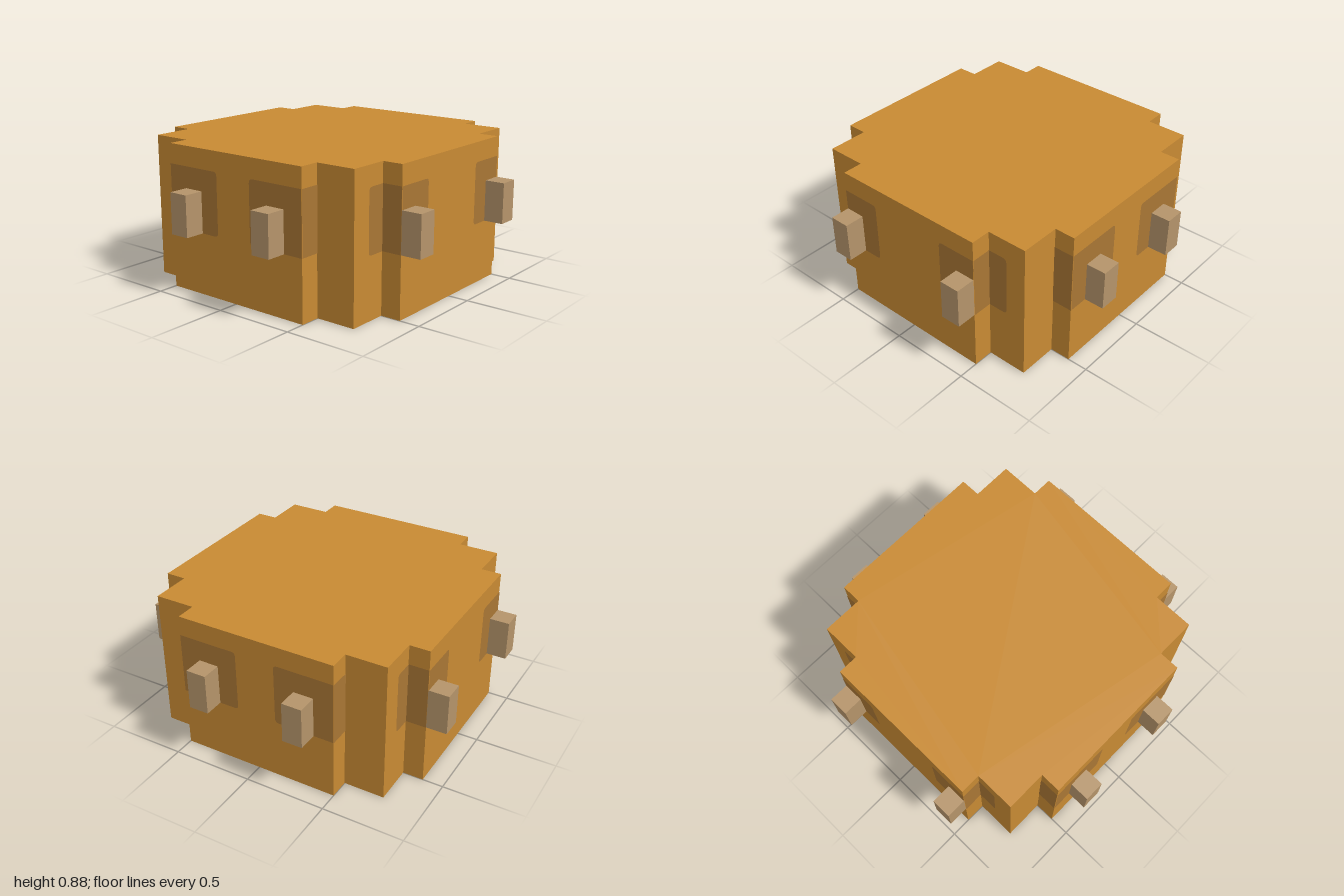
import * as THREE from 'three';

const bodyMat = new THREE.MeshStandardMaterial({ name: 'amber', color: 0xc88a33 });
const patchMat = new THREE.MeshStandardMaterial({ name: 'dark amber', color: 0xa97635 });
const pegMat = new THREE.MeshStandardMaterial({ name: 'tan', color: 0xb5946a });

const H = 0.875, LIFT = 0.003;
const Y0 = 0.375, Y1 = 0.755;

// Stepped round outline, extruded upwards
function makeBody() {
  const q = [[0.875, 0.5], [0.75, 0.5], [0.75, 0.75], [0.5, 0.75], [0.5, 0.875]];
  const pts = [];
  for (let k = 0; k < 4; k++) {
    for (const [a, b] of q) {
      let x = a, y = b;
      for (let i = 0; i < k; i++) [x, y] = [-y, x];
      pts.push(new THREE.Vector2(x, y));
    }
  }
  const geo = new THREE.ExtrudeGeometry(new THREE.Shape(pts), { depth: H, bevelEnabled: false });
  geo.rotateX(-Math.PI / 2);
  const body = new THREE.Mesh(geo, bodyMat);
  body.name = 'body';
  return body;
}

// Flat patch from u0 to u1, each end with its own corner radius
function patchGeometry(u0, u1, r0, r1, flip) {
  if (flip) [u0, u1, r0, r1] = [-u1, -u0, r1, r0];
  const s = new THREE.Shape();
  s.moveTo(u0 + r0, Y0);
  s.lineTo(u1 - r1, Y0);
  if (r1) s.quadraticCurveTo(u1, Y0, u1, Y0 + r1);
  s.lineTo(u1, Y1 - r1);
  if (r1) s.quadraticCurveTo(u1, Y1, u1 - r1, Y1);
  s.lineTo(u0 + r0, Y1);
  if (r0) s.quadraticCurveTo(u0, Y1, u0, Y1 - r0);
  s.lineTo(u0, Y0 + r0);
  if (r0) s.quadraticCurveTo(u0, Y0, u0 + r0, Y0);
  return new THREE.ShapeGeometry(s, 4);
}

export function createModel() {
  const model = new THREE.Group();
  model.name = 'steppedDrum';
  model.add(makeBody());

  const R = 0.025;
  for (const sx of [1, -1]) for (const sz of [1, -1]) {
    const corner = new THREE.Group();
    corner.name = 'cornerDetails';

    // Patch on a wall facing front or back
    const zPatch = (z, u0, u1, r0, r1) => {
      const m = new THREE.Mesh(patchGeometry(u0, u1, r0, r1, sx * sz < 0), patchMat);
      m.rotation.y = sz > 0 ? 0 : Math.PI;
      m.position.z = sz * (z + LIFT);
      m.name = 'patch';
      corner.add(m);
    };
    // Patch on a wall facing left or right
    const xPatch = (x, u0, u1, r0, r1) => {
      const m = new THREE.Mesh(patchGeometry(u0, u1, r0, r1, sx * sz > 0), patchMat);
      m.rotation.y = sx * Math.PI / 2;
      m.position.x = sx * (x + LIFT);
      m.name = 'patch';
      corner.add(m);
    };
    // Front and back patch wraps around the first step
    zPatch(0.875, 0.25, 0.5, R, 0);
    xPatch(0.5, 0.75, 0.875, 0, 0);
    zPatch(0.75, 0.5, 0.625, 0, R);
    // Side patch wraps onto the second step
    xPatch(0.875, 0.125, 0.5, R, 0);
    zPatch(0.5, 0.75, 0.875, 0, 0);

    // Pegs
    for (const [x, z] of [[0.4375, 0.9375], [0.9375, 0.3125]]) {
      const peg = new THREE.Mesh(new THREE.BoxGeometry(0.125, 0.25, 0.125), pegMat);
      peg.position.set(sx * x, 0.5, sz * z);
      peg.name = 'peg';
      corner.add(peg);
    }
    model.add(corner);
  }
  return model;
}
